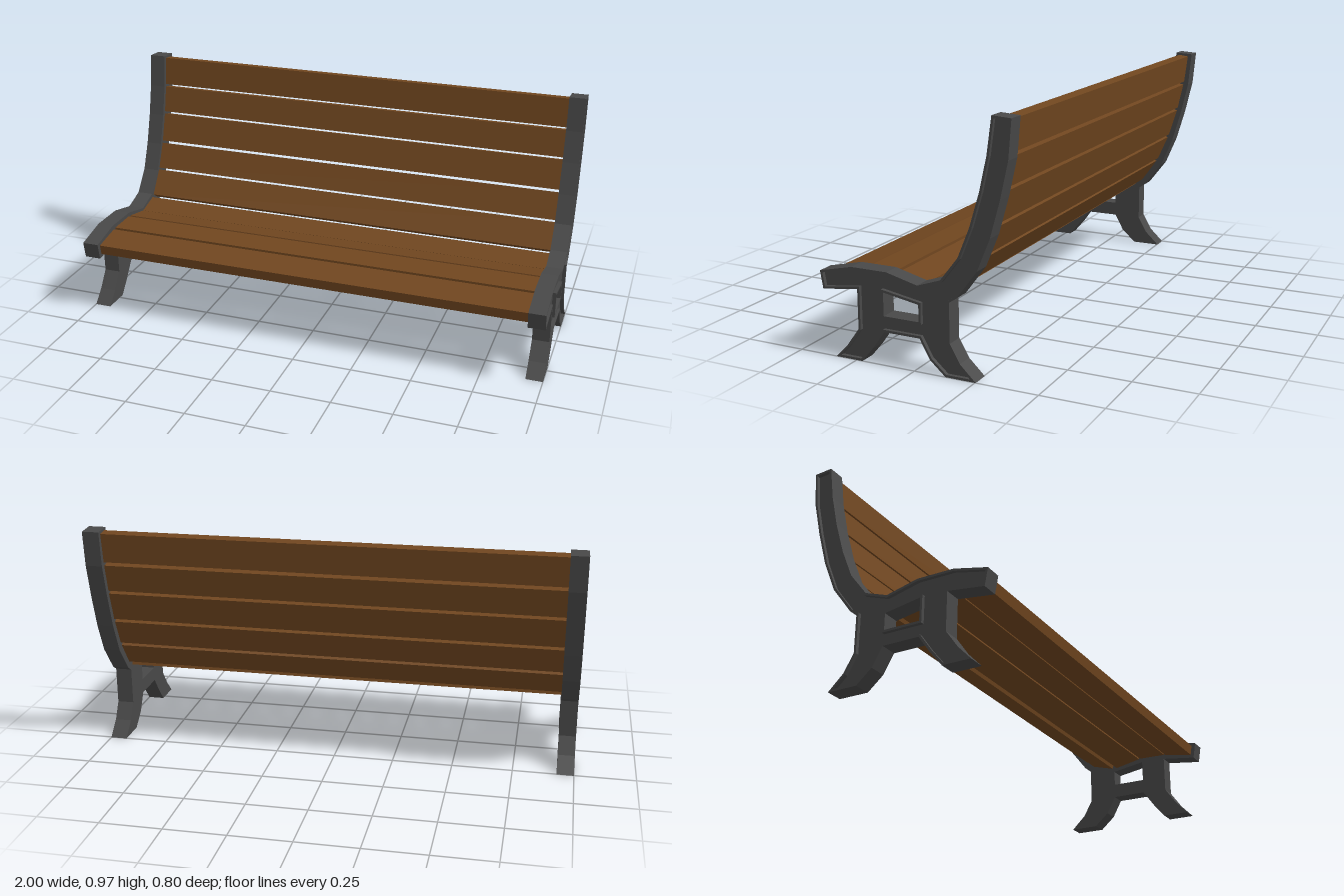
import * as THREE from 'three';

const iron = new THREE.MeshStandardMaterial({ color: 0x484848 });
const wood = new THREE.MeshStandardMaterial({ color: 0x70461f });

// Side outline as [z, y], counter-clockwise
const outline = [
  [0.40, 0.33], [0.26, 0.362], [0.11, 0.362], [-0.02, 0.33], [-0.115, 0.363],
  [-0.187, 0.455], [-0.235, 0.57], [-0.275, 0.70], [-0.305, 0.83], [-0.325, 0.97],
  [-0.40, 0.965], [-0.387, 0.82], [-0.355, 0.68], [-0.315, 0.54], [-0.263, 0.415],
  [-0.18, 0.305], [-0.15, 0.285], [-0.15, 0.13], [-0.19, 0.06], [-0.253, 0],
  [-0.13, 0], [-0.067, 0.055], [-0.025, 0.13], [0.125, 0.13], [0.175, 0.06],
  [0.225, 0], [0.34, 0], [0.287, 0.055], [0.237, 0.125], [0.237, 0.28], [0.388, 0.26],
].map(([z, y]) => new THREE.Vector2(z, y));
const opening = [[0.125, 0.283], [-0.023, 0.258], [-0.023, 0.192], [0.125, 0.192]]
  .map(([z, y]) => new THREE.Vector2(z, y));

// Moves every edge inward by d (outward when negative), with mitred corners
function inset(points, d) {
  const n = points.length;
  const normal = (a, b) => new THREE.Vector2(a.y - b.y, b.x - a.x).normalize();
  return points.map((p, i) => {
    const n1 = normal(points[(i + n - 1) % n], p);
    const n2 = normal(p, points[(i + 1) % n]);
    return n1.clone().add(n2).multiplyScalar(d / (1 + n1.dot(n2))).add(p);
  });
}

// Extrudes a [z, y] outline with a hole between two x positions
function slab(name, outer, hole, x0, x1) {
  const shape = new THREE.Shape(outer);
  shape.holes.push(new THREE.Path(hole));
  const geometry = new THREE.ExtrudeGeometry(shape, { depth: x1 - x0, bevelEnabled: false });
  geometry.rotateY(-Math.PI / 2);
  geometry.translate(x1, 0, 0);
  const mesh = new THREE.Mesh(geometry, iron);
  mesh.name = name;
  return mesh;
}

// Cast end frame: plate with a raised rim on its outer face
function endFrame(side) {
  const group = new THREE.Group();
  group.name = side > 0 ? 'leftEndFrame' : 'rightEndFrame';
  const span = (a, b) => (side > 0 ? [a, b] : [-b, -a]);
  group.add(
    slab('framePlate', outline, opening, ...span(0.93, 0.985)),
    slab('outerRim', outline, inset(outline, 0.009), ...span(0.985, 1)),
    slab('openingRim', inset(opening, -0.009), opening, ...span(0.985, 1)),
  );
  return group;
}

// Slat centre lines from front edge to top edge: z, y to z, y
const slats = [
  [0.378, 0.298, 0.25, 0.32], [0.24, 0.322, 0.115, 0.324], [0.105, 0.322, -0.014, 0.297],
  [-0.026, 0.297, -0.125, 0.324], [-0.148, 0.342, -0.218, 0.442], [-0.225, 0.453, -0.272, 0.562],
  [-0.277, 0.574, -0.314, 0.696], [-0.317, 0.708, -0.342, 0.822], [-0.345, 0.835, -0.36, 0.957],
];

export function createModel() {
  const bench = new THREE.Group();
  bench.name = 'bench';
  bench.add(endFrame(1), endFrame(-1));

  slats.forEach(([z0, y0, z1, y1], i) => {
    const geometry = new THREE.BoxGeometry(1.86, 0.044, Math.hypot(z1 - z0, y1 - y0));
    const slat = new THREE.Mesh(geometry, wood);
    slat.name = i < 4 ? `seatSlat${i + 1}` : `backSlat${i - 3}`;
    slat.position.set(0, (y0 + y1) / 2, (z0 + z1) / 2);
    slat.rotation.x = Math.atan2(y1 - y0, z0 - z1);
    bench.add(slat);
  });
  return bench;
}
